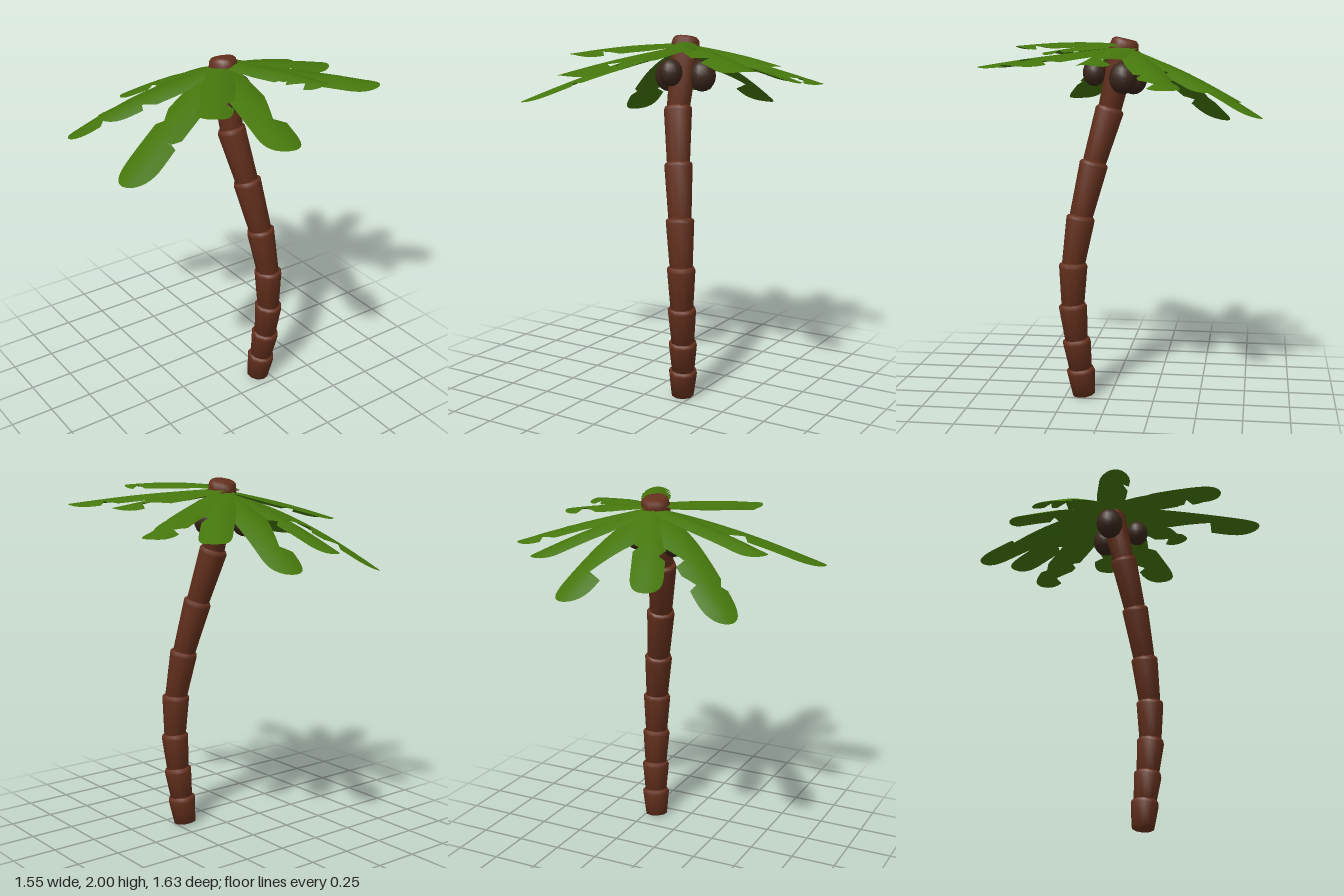
import * as THREE from 'three';

const barkMat = new THREE.MeshStandardMaterial({ color: 0x64301d });
const leafMat = new THREE.MeshStandardMaterial({ color: 0x45760c, side: THREE.DoubleSide });
const nutMat = new THREE.MeshStandardMaterial({ color: 0x38251a });

// Ring centres of the leaning trunk, from the ground to the crown
const rings = [
  [0.19, 0.006, 0.15], [0.203, 0.165, 0.167], [0.213, 0.335, 0.188], [0.217, 0.535, 0.207], [0.21, 0.765, 0.203],
  [0.178, 1.025, 0.163], [0.127, 1.32, 0.095], [0.075, 1.615, 0.013], [0.077, 1.988, -0.073],
].map((p) => new THREE.Vector3(...p));

// One trunk segment: widens upwards and ends in a rounded lip
function trunkSegment(a, b, last) {
  const dir = b.clone().sub(a);
  const len = dir.length();
  const lip = last ? 0.07 : 0.03;
  const profile = [
    [0, 0], [0.064, 0], [0.079, len - lip], [0.08, len - lip * 0.6],
    [0.074, len - lip * 0.2], [0.058, len], [0, len],
  ].map(([r, y]) => new THREE.Vector2(r, y));
  const mesh = new THREE.Mesh(new THREE.LatheGeometry(profile, 10), barkMat);
  mesh.position.copy(a);
  mesh.quaternion.setFromUnitVectors(new THREE.Vector3(0, 1, 0), dir.normalize());
  return mesh;
}

// Fronds: tip position, half width, notches as [side, place, depth]; side 1 is right looking outwards
const fronds = [
  { tip: [0.22, 1.57, -0.82], w: 0.1, notches: [[-1, 0.74, 0.75]] },
  { tip: [0.54, 1.72, -0.59], w: 0.085, notches: [[1, 0.56, 0.4]] },
  { tip: [0.77, 1.74, -0.37], w: 0.09, notches: [[-1, 0.8, 0.4], [1, 0.85, 0.5], [1, 0.64, 0.3]] },
  { tip: [0.7, 1.86, 0.06], w: 0.088, notches: [[-1, 0.76, 0.6], [1, 0.6, 0.3]] },
  { tip: [0.73, 1.86, 0.46], w: 0.1, notches: [[-1, 0.76, 0.4], [1, 0.55, 0.5]] },
  { tip: [0.34, 1.95, 0.48], w: 0.082, notches: [[-1, 0.84, 0.45], [1, 0.84, 0.5], [1, 0.68, 0.4]] },
  { tip: [-0.13, 1.83, 0.81], w: 0.1, notches: [[-1, 0.68, 0.7]] },
  { tip: [-0.33, 1.91, 0.45], w: 0.09, notches: [[-1, 0.75, 0.45], [1, 0.75, 0.4]] },
  { tip: [-0.77, 1.62, 0.33], w: 0.1, notches: [[1, 0.52, 0.45], [-1, 0.66, 0.3]] },
  { tip: [-0.62, 1.76, -0.19], w: 0.085, notches: [[-1, 0.68, 0.4]] },
  { tip: [-0.6, 1.5, -0.6], w: 0.1, notches: [[1, 0.72, 0.4], [1, 0.54, 0.5], [-1, 0.75, 0.35]] },
  { tip: [-0.19, 1.63, -0.7], w: 0.085, notches: [[1, 0.52, 0.35], [-1, 0.62, 0.4]] },
];

// A notch slopes in slowly from the trunk side (deeper ones for longer) and jumps back out
const slope = (depth) => 0.6 * depth ** 2;
const JUMP = 0.012;

// Half width along a frond: near-parallel sides, round end, torn notches
function halfWidth(t, side, { w, notches }) {
  let width = w * Math.min(1, 0.68 + 0.8 * t);
  if (t > 0.78) width *= Math.max(0, 1 - ((t - 0.78) / 0.22) ** 2.4) ** 0.5;
  for (const [s, at, depth] of notches) {
    if (s !== side) continue;
    const start = at - slope(depth);
    if (t <= at && t > start) width *= 1 - depth * (t - start) / (at - start);
    else if (t > at && t < at + JUMP) width *= 1 - depth * (at + JUMP - t) / JUMP;
  }
  return width;
}

// A frond as a strip of arched cross-sections that droops towards its tip
function frondGeometry(frond) {
  const [tx, ty, tz] = frond.tip;
  const cx = 0.077, cz = -0.08, cy = 1.945 + (ty - 1.8) * 0.1;
  const len = Math.hypot(tx - cx, tz - cz);
  const sx = -(tz - cz) / len, sz = (tx - cx) / len;
  // High fronds level out at the tip, low ones bend down
  const bend = Math.max(0.8, 0.8 + (1.83 - ty) * 1.6);

  // Stations closer towards the tip, plus those bounding every notch
  const stations = Array.from({ length: 25 }, (_, i) => Math.sin((i / 24) * Math.PI / 2));
  for (const [, at, depth] of frond.notches) stations.push(at - slope(depth), at, at + JUMP);
  stations.sort((a, b) => a - b);

  const across = [-1, -0.5, 0, 0.5, 1];
  const n = across.length;
  const pos = [], index = [];
  stations.forEach((t, i) => {
    const y = cy + (ty - cy) * t ** bend + 0.015 * Math.sin(Math.PI * t);
    for (const k of across) {
      const off = k * halfWidth(t, Math.sign(k), frond);
      const sag = 0.028 * (off / frond.w) ** 2;
      pos.push(cx + (tx - cx) * t + sx * off, y - sag, cz + (tz - cz) * t + sz * off);
    }
    if (i === 0) return;
    for (let j = 0; j < n - 1; j++) {
      const a = (i - 1) * n + j, b = i * n + j;
      index.push(a, a + 1, b, a + 1, b + 1, b);
    }
  });
  const geo = new THREE.BufferGeometry();
  geo.setAttribute('position', new THREE.Float32BufferAttribute(pos, 3));
  geo.setIndex(index);
  geo.computeVertexNormals();
  return geo;
}

export function createModel() {
  const model = new THREE.Group();
  model.name = 'palmTree';

  const trunk = new THREE.Group();
  trunk.name = 'trunk';
  for (let i = 0; i < rings.length - 1; i++) {
    const start = i ? rings[i].clone().lerp(rings[i - 1], 0.08) : rings[0];
    const segment = trunkSegment(start, rings[i + 1], i === rings.length - 2);
    segment.name = 'trunkSegment' + (i + 1);
    trunk.add(segment);
  }
  model.add(trunk);

  const crown = new THREE.Group();
  crown.name = 'fronds';
  fronds.forEach((frond, i) => {
    const mesh = new THREE.Mesh(frondGeometry(frond), leafMat);
    mesh.name = 'frond' + (i + 1);
    crown.add(mesh);
  });
  model.add(crown);

  // Coconuts hang round the trunk just under the fronds
  const nuts = new THREE.Group();
  nuts.name = 'coconuts';
  for (const [x, y, z, r] of [[0.08, 1.805, 0.1, 0.065], [-0.05, 1.77, -0.1, 0.078], [0.18, 1.78, -0.07, 0.076]]) {
    const nut = new THREE.Mesh(new THREE.SphereGeometry(r, 14, 10), nutMat);
    nut.name = 'coconut';
    nut.position.set(x, y, z);
    nut.scale.y = 1.15;
    nuts.add(nut);
  }
  model.add(nuts);

  return model;
}
